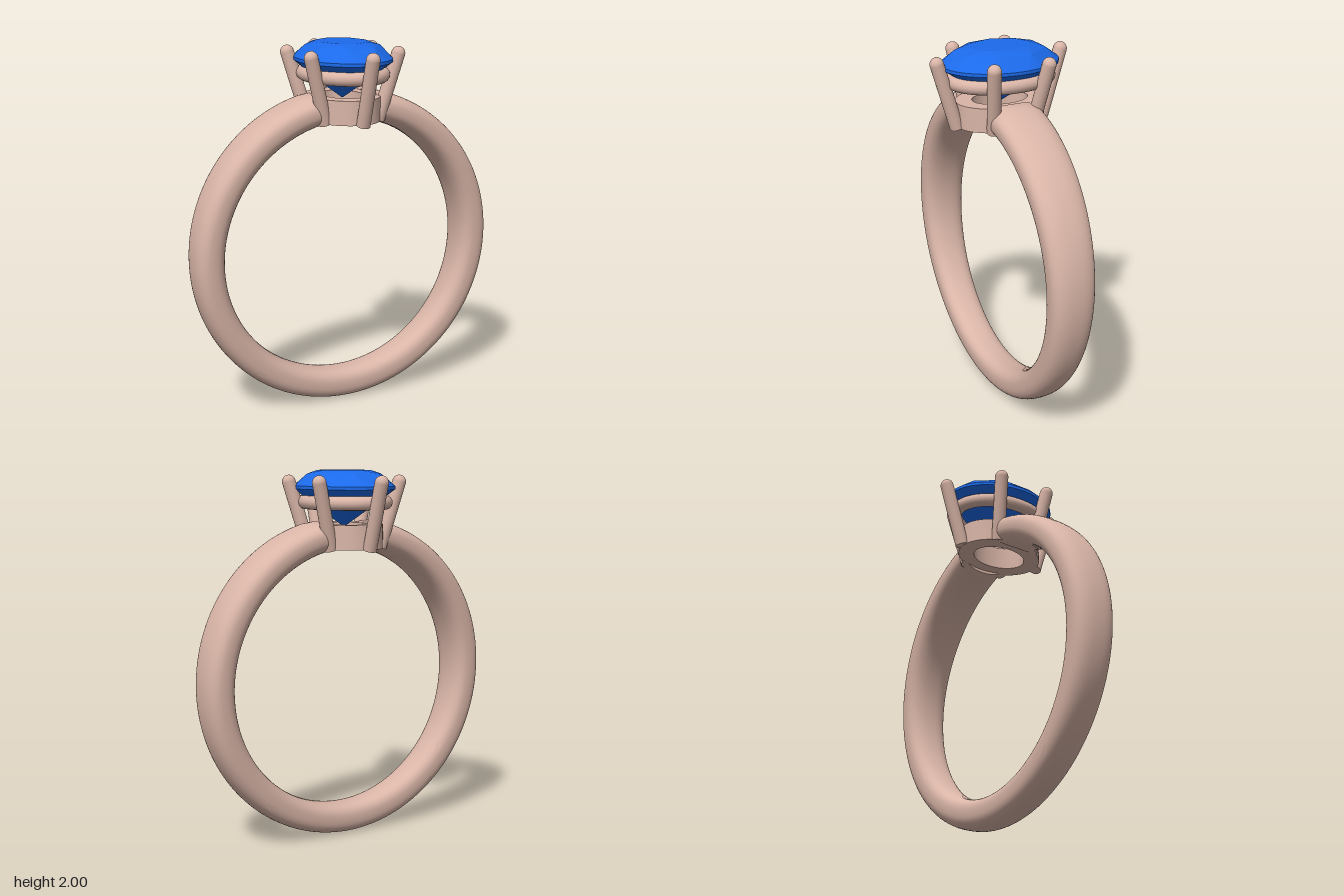
import * as THREE from 'three';
import { ConvexGeometry } from 'three/addons/geometries/ConvexGeometry.js';
import { toCreasedNormals } from 'three/addons/utils/BufferGeometryUtils.js';

const metal = new THREE.MeshStandardMaterial({ color: 0xd9b5a7 });
const blue = new THREE.MeshStandardMaterial({ color: 0x1c6aea });
const BAND_Y = 0.877, BAND_R = 0.79, BAND_T = 0.083; // band centre height, mid radius, half thickness
const WALL = { x: 0.172, z: 0.225 };                 // oval inside the collar wall where the band ends

function addMesh(parent, name, geometry, material = metal) {
  const mesh = new THREE.Mesh(geometry, material);
  mesh.name = name;
  parent.add(mesh);
  return mesh;
}

// Open band: rounded cross-section swept round, widening upwards, ends set into the collar wall
function bandGeometry() {
  const N = 128, M = 40, pos = [], idx = [];
  const start = Math.asin(WALL.x / BAND_R);
  const power = (v) => Math.sign(v) * Math.pow(Math.abs(v), 2 / 2.6);
  for (let i = 0; i <= N; i++) {
    const a = start + (i / N) * (2 * Math.PI - 2 * start);
    for (let j = 0; j < M; j++) {
      const t = (j / M) * 2 * Math.PI;
      const r = BAND_R + BAND_T * power(Math.cos(t));
      const y = BAND_Y + r * Math.cos(a);
      const z = (0.092 + 0.034 * y) * power(Math.sin(t));
      let x = r * Math.sin(a);
      if (i === 0 || i === N) x = Math.sign(x) * WALL.x * Math.sqrt(1 - (z / WALL.z) ** 2);
      pos.push(x, y, z);
      if (i < N) {
        const p = i * M + j, q = i * M + (j + 1) % M;
        idx.push(p, q, p + M, q, q + M, p + M);
      }
    }
  }
  // end caps
  const last = N * M;
  for (let j = 1; j < M - 1; j++) idx.push(0, j + 1, j, last, last + j, last + j + 1);
  const g = new THREE.BufferGeometry();
  g.setAttribute('position', new THREE.Float32BufferAttribute(pos, 3));
  g.setIndex(idx);
  return toCreasedNormals(g, 0.8);
}

// Oval collar with an open middle
function collarGeometry() {
  const shape = new THREE.Shape().absellipse(0, 0, 0.19, 0.245, 0, Math.PI * 2);
  shape.holes.push(new THREE.Path().absellipse(0, 0, 0.108, 0.155, 0, Math.PI * 2));
  const g = new THREE.ExtrudeGeometry(shape, { depth: 0.13, bevelEnabled: false, curveSegments: 32 });
  g.rotateX(-Math.PI / 2).translate(0, 1.585, 0);
  return toCreasedNormals(g, 0.6);
}

// Oval brilliant with a softly domed crown: rings of points [radius, y, count, half-step offset]
function gemGeometry() {
  const rings = [
    [0.52, 2.0, 8, 0], [0.76, 1.981, 8, 0.5], [1, 1.917, 48, 0],
    [1, 1.9, 48, 0], [0.5, 1.79, 8, 0.5], [0.02, 1.7, 4, 0],
  ];
  const points = [];
  for (const [r, y, n, offset] of rings)
    for (let i = 0; i < n; i++) {
      const a = ((i + offset) / n) * Math.PI * 2;
      points.push(new THREE.Vector3(0.249 * r * Math.cos(a), y, 0.322 * r * Math.sin(a)));
    }
  return new ConvexGeometry(points);
}

// Oval gallery rail under the gem
class Oval extends THREE.Curve {
  getPoint(t, target = new THREE.Vector3()) {
    const a = t * Math.PI * 2;
    return target.set(0.2 * Math.cos(a), 1.83, 0.268 * Math.sin(a));
  }
}

// Leaning prong with a round tip
function addProng(parent, bottom, top) {
  const prong = new THREE.Group();
  prong.name = 'prong';
  const axis = top.clone().sub(bottom), R = 0.037;
  addMesh(prong, 'prongShaft', new THREE.CylinderGeometry(R, R, axis.length(), 20).translate(0, axis.length() / 2, 0));
  addMesh(prong, 'prongTip', new THREE.SphereGeometry(R, 20, 12).translate(0, axis.length(), 0));
  prong.position.copy(bottom);
  prong.quaternion.setFromUnitVectors(new THREE.Vector3(0, 1, 0), axis.normalize());
  parent.add(prong);
}

export function createModel() {
  const ring = new THREE.Group();
  ring.name = 'ring';
  addMesh(ring, 'band', bandGeometry());

  const setting = new THREE.Group();
  setting.name = 'setting';
  ring.add(setting);
  addMesh(setting, 'collar', collarGeometry());
  addMesh(setting, 'galleryRail', new THREE.TubeGeometry(new Oval(), 80, 0.037, 16, true));
  for (const sz of [-1, 1]) {
    addProng(setting, new THREE.Vector3(0, 1.585, 0.25 * sz), new THREE.Vector3(0, 1.938, 0.357 * sz));
    for (const sx of [-1, 1])
      addProng(setting, new THREE.Vector3(0.155 * sx, 1.585, 0.112 * sz), new THREE.Vector3(0.252 * sx, 1.938, 0.155 * sz));
  }

  addMesh(ring, 'gem', gemGeometry(), blue);
  return ring;
}
